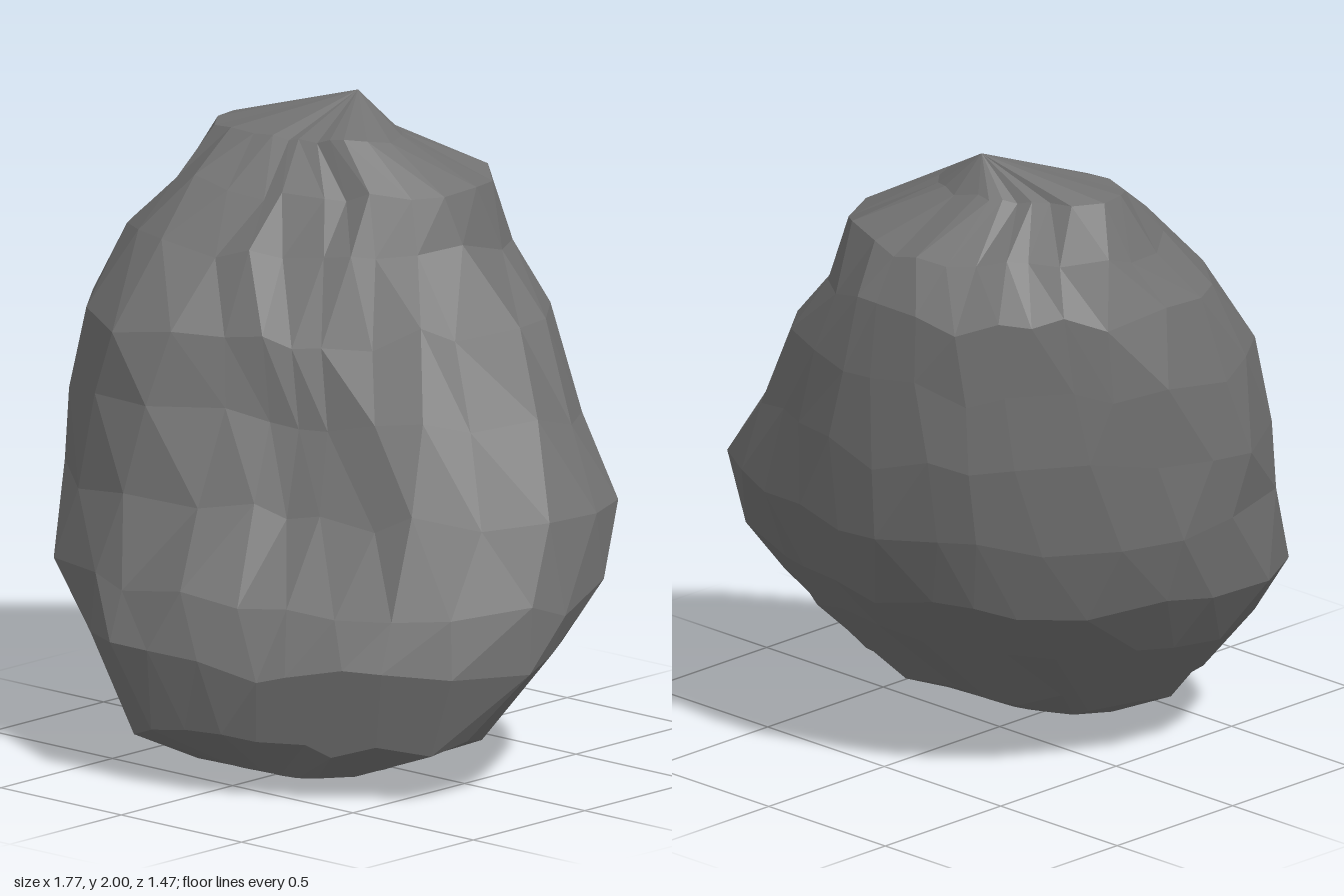
import * as THREE from 'three';

const SIDES = 24;

// Each ring: height, centre x and z, then radii every 30 degrees from +x towards +z
const LEVELS = [
  { y: 0.06, c: [0.05, 0.28], r: [0.32, 0.28, 0.23, 0.22, 0.25, 0.32, 0.33, 0.27, 0.24, 0.25, 0.27, 0.32] },
  { y: 0.17, c: [0.05, 0.2], r: [0.62, 0.46, 0.42, 0.46, 0.55, 0.51, 0.51, 0.44, 0.41, 0.41, 0.44, 0.54] },
  { y: 0.42, c: [0.05, 0.1], r: [0.79, 0.62, 0.56, 0.59, 0.72, 0.77, 0.75, 0.65, 0.6, 0.57, 0.6, 0.72] },
  { y: 0.61, c: [0, 0], r: [0.87, 0.68, 0.59, 0.65, 0.75, 0.91, 0.83, 0.7, 0.67, 0.61, 0.65, 0.83] },
  { y: 0.85, c: [0, -0.08], r: [0.82, 0.59, 0.47, 0.49, 0.74, 0.93, 0.87, 0.73, 0.68, 0.63, 0.68, 0.8] },
  { y: 1.1, c: [-0.1, -0.1], r: [0.7, 0.5, 0.4, 0.43, 0.69, 0.86, 0.77, 0.67, 0.65, 0.63, 0.67, 0.75] },
  { y: 1.35, c: [-0.2, -0.13], r: [0.55, 0.42, 0.4, 0.46, 0.69, 0.74, 0.66, 0.57, 0.57, 0.59, 0.65, 0.7] },
  { y: 1.57, c: [-0.26, -0.2], r: [0.5, 0.39, 0.34, 0.42, 0.57, 0.61, 0.53, 0.46, 0.46, 0.49, 0.55, 0.57] },
  { y: 1.74, c: [-0.26, -0.25], r: [0.46, 0.32, 0.29, 0.33, 0.46, 0.49, 0.43, 0.31, 0.3, 0.35, 0.41, 0.49] },
  { y: 1.89, c: [-0.3, -0.2], r: [0.28, 0.2, 0.15, 0.17, 0.24, 0.33, 0.29, 0.17, 0.15, 0.18, 0.23, 0.27] },
];
const BASE = [0.07, 0, 0.3];
const CROWN = [-0.23, 2, -0.31];

// Small seeded generator, returns -1..1
function seeded(seed) {
  return () => {
    seed = (seed * 16807) % 2147483647;
    return (seed / 2147483647) * 2 - 1;
  };
}

// Closed outline of the rock at one height
function ringCurve({ y, c, r }) {
  const points = r.map((radius, i) => {
    const angle = (i / r.length) * Math.PI * 2;
    return new THREE.Vector3(c[0] + radius * Math.cos(angle), y, c[1] + radius * Math.sin(angle));
  });
  return new THREE.CatmullRomCurve3(points, true);
}

function rockGeometry() {
  const jitter = seeded(4217);
  const positions = [];
  const index = [];

  // Slightly uneven rings from base to crown, every other one turned half a step
  LEVELS.forEach((level, i) => {
    const curve = ringCurve(level);
    const rise = i === 0 || i === LEVELS.length - 1 ? 0.01 : 0.035;
    for (let j = 0; j < SIDES; j++) {
      const step = j + 1 + (i % 2) * 0.5 + 0.25 * jitter();
      const p = curve.getPoint((step / SIDES) % 1);
      positions.push(p.x + 0.008 * jitter(), p.y + rise * jitter(), p.z + 0.008 * jitter());
    }
  });
  const bottom = LEVELS.length * SIDES;
  const top = bottom + 1;
  const last = bottom - SIDES;
  positions.push(...BASE, ...CROWN);

  // Facets between neighbouring rings, closed by fans at both ends
  for (let j = 0; j < SIDES; j++) {
    const k = (j + 1) % SIDES;
    index.push(bottom, j, k, top, last + k, last + j);
    for (let i = 0; i < LEVELS.length - 1; i++) {
      const a = i * SIDES + j, b = i * SIDES + k;
      const c = a + SIDES, d = b + SIDES;
      if (i % 2 === 0) index.push(a, c, b, b, c, d);
      else index.push(a, c, d, a, d, b);
    }
  }

  const indexed = new THREE.BufferGeometry();
  indexed.setAttribute('position', new THREE.Float32BufferAttribute(positions, 3));
  indexed.setIndex(index);
  const geometry = indexed.toNonIndexed();
  geometry.computeVertexNormals();
  return geometry;
}

export function createModel() {
  const group = new THREE.Group();
  group.name = 'boulder';
  const stone = new THREE.MeshStandardMaterial({ color: 0x717171, flatShading: true });
  const rock = new THREE.Mesh(rockGeometry(), stone);
  rock.name = 'rock';
  group.add(rock);
  return group;
}
